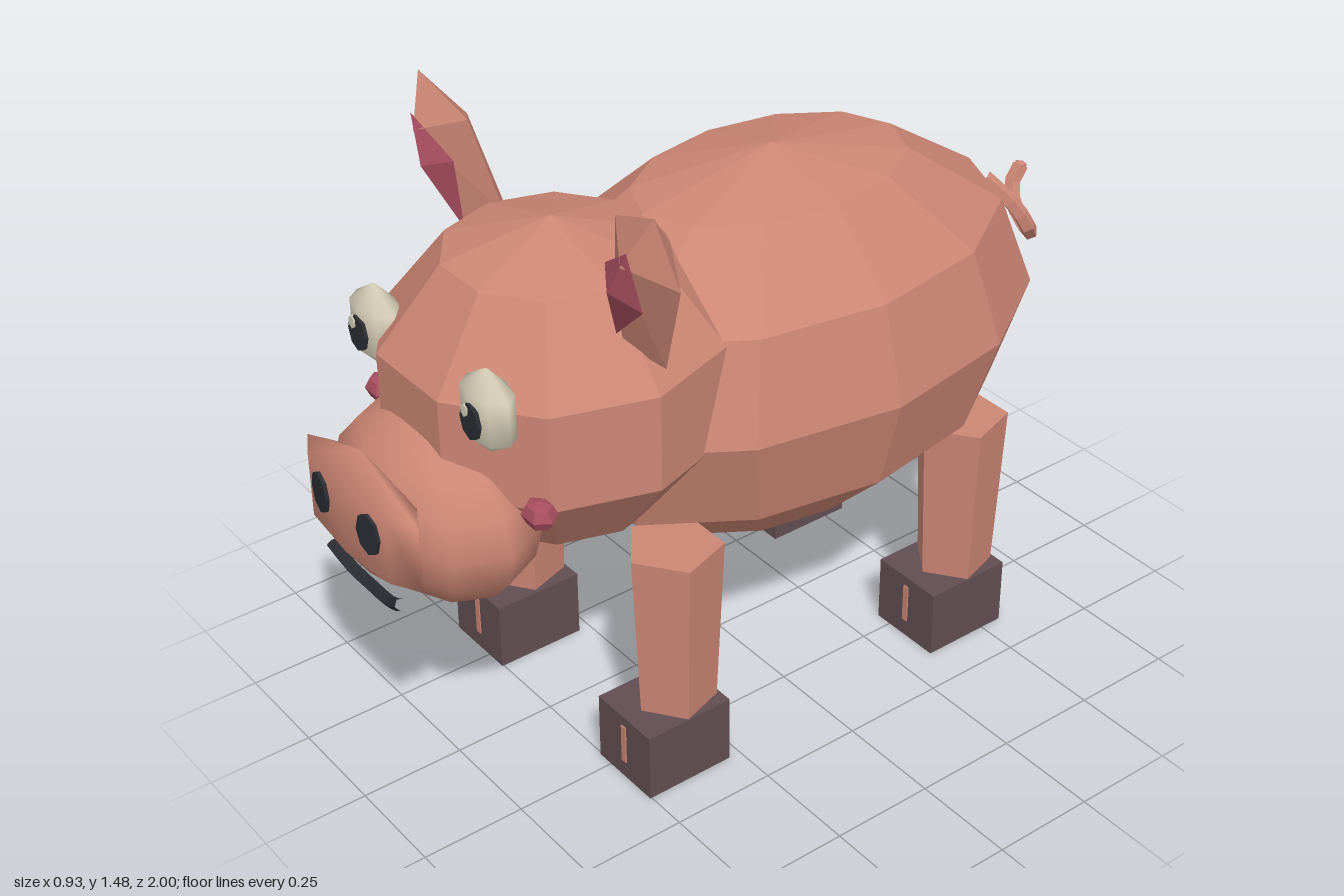
import * as THREE from 'three';
import { ConvexGeometry } from 'three/addons/geometries/ConvexGeometry.js';

const V = (x, y, z) => new THREE.Vector3(x, y, z);

function material(name, color, flat = true) {
  const m = new THREE.MeshStandardMaterial({ color, flatShading: flat });
  m.name = name;
  return m;
}

export function createModel() {
  const skin = material('skin pink', 0xcc8674);
  const smoothSkin = material('smooth skin pink', 0xcc8674, false);
  const rose = material('rose', 0xa84e60);
  const hoofBrown = material('hoof brown', 0x624e53);
  const cream = material('eye cream', 0xd8d0b8, false);
  const dark = material('dark', 0x2b2d33);

  const pig = new THREE.Group();
  pig.name = 'pig';

  function add(name, geometry, mat, position = [0, 0, 0], scale = [1, 1, 1], rotation = [0, 0, 0]) {
    const mesh = new THREE.Mesh(geometry, mat);
    mesh.name = name;
    mesh.position.set(...position);
    mesh.scale.set(...scale);
    mesh.rotation.set(...rotation);
    pig.add(mesh);
    return mesh;
  }
  const ball = (w, h) => new THREE.SphereGeometry(1, w, h);
  // thin disc facing +z
  const disc = (sides) => new THREE.CylinderGeometry(1, 1, 1, sides).rotateX(Math.PI / 2);

  // Body and head
  add('body', ball(12, 6), skin, [0, 0.815, -0.14], [0.458, 0.46, 0.7]);
  add('head', ball(10, 5), skin, [0, 0.92, 0.45], [0.4, 0.37, 0.405]);

  // Snout and nose
  add('snout', ball(10, 8), smoothSkin, [0, 0.72, 0.765], [0.29, 0.21, 0.19]);
  add('nose', ball(8, 3), smoothSkin, [0, 0.753, 0.94], [0.255, 0.157, 0.06]);

  // Mouth
  const smile = new THREE.CatmullRomCurve3([
    V(-0.14, 0.6, 0.95), V(-0.08, 0.565, 0.94), V(0, 0.555, 0.935), V(0.08, 0.565, 0.94), V(0.14, 0.6, 0.95),
  ]);
  add('mouth', new THREE.TubeGeometry(smile, 8, 0.014, 5), dark);

  // Paired face parts
  for (const s of [-1, 1]) {
    const side = s > 0 ? 'left' : 'right';
    add(side + 'Nostril', disc(8), dark, [s * 0.096, 0.77, 0.986], [0.037, 0.05, 0.009], [0, s * 0.12, 0]);
    add(side + 'Cheek', ball(6, 4), rose, [s * 0.305, 0.815, 0.705], [0.046, 0.032, 0.036]);
    add(side + 'Eye', ball(8, 3), cream, [s * 0.213, 1.04, 0.755], [0.087, 0.1, 0.052]);
    add(side + 'Pupil', disc(8), dark, [s * 0.216, 1.033, 0.8], [0.034, 0.043, 0.009]);
    add(side + 'EyeGlint', disc(6), cream, [s * 0.216 - 0.012, 1.056, 0.805], [0.012, 0.016, 0.006]);

    // Ear: diamond section widening upward to a point
    add(side + 'Ear', new ConvexGeometry([
      V(s * 0.2, 1.2, 0.43), V(s * 0.36, 1.08, 0.42), V(s * 0.28, 1.12, 0.47), V(s * 0.28, 1.13, 0.365),
      V(s * 0.265, 1.41, 0.47), V(s * 0.465, 1.32, 0.46), V(s * 0.375, 1.365, 0.54), V(s * 0.365, 1.37, 0.41),
      V(s * 0.422, 1.475, 0.49),
    ]), skin);
    add(side + 'InnerEar', new ConvexGeometry([
      V(s * 0.39, 1.4, 0.535), V(s * 0.275, 1.32, 0.505), V(s * 0.28, 1.15, 0.485), V(s * 0.4, 1.26, 0.505),
      V(s * 0.34, 1.295, 0.548),
    ]), rose);

    // Legs with hooves
    for (const [end, legZ, hoofZ] of [['Front', 0.365, 0.392], ['Back', -0.473, -0.445]]) {
      const name = side + end;
      add(name + 'Leg', new THREE.CylinderGeometry(0.112, 0.093, 0.44, 5), skin, [s * 0.3, 0.365, legZ]);
      add(name + 'Hoof', new THREE.BoxGeometry(0.19, 0.17, 0.224), hoofBrown, [s * 0.296, 0.085, hoofZ]);
      add(name + 'HoofCleft', new THREE.BoxGeometry(0.016, 0.1, 0.006), skin, [s * 0.296, 0.095, hoofZ + 0.112]);
    }
  }

  // Curly tail
  const curl = new THREE.CatmullRomCurve3([
    V(0, 0.975, -0.8), V(0.062, 0.91, -0.845), V(0.075, 0.825, -0.895),
    V(-0.01, 0.83, -0.93), V(-0.06, 0.88, -0.955), V(-0.063, 0.925, -0.985),
  ]);
  add('tail', new THREE.TubeGeometry(curl, 10, 0.02, 5), skin);
  add('tailTip', ball(5, 3), skin, [-0.063, 0.925, -0.984], [0.019, 0.012, 0.015]);

  pig.position.x = 0.0075;
  const model = new THREE.Group();
  model.name = 'model';
  model.add(pig);
  return model;
}
